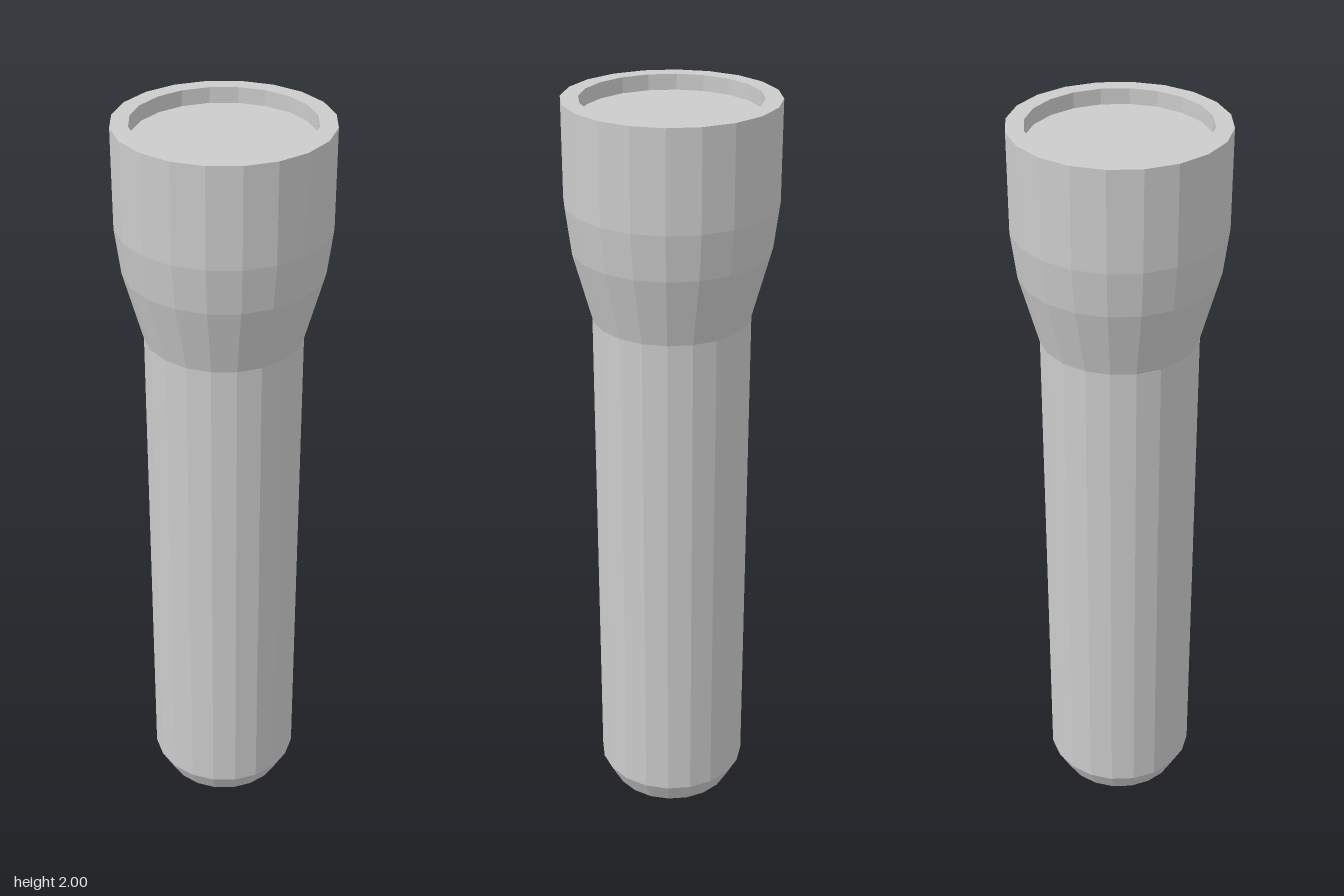
import * as THREE from 'three';

const SIDES = 20;

// Faceted turned part from [radius, height] pairs, listed from bottom to top along the outside
function turned(name, profile) {
  const points = profile.map(([r, y]) => new THREE.Vector2(r, y));
  const material = new THREE.MeshStandardMaterial({ color: 0xcccccc, flatShading: true });
  const mesh = new THREE.Mesh(new THREE.LatheGeometry(points, SIDES), material);
  mesh.name = name;
  return mesh;
}

export function createModel() {
  const group = new THREE.Group();
  group.name = 'flashlight';

  // Handle with closed, chamfered tail
  group.add(turned('handle', [[0, 0], [0.17, 0], [0.204, 0.065], [0.204, 1.44]]));

  // Flared head, flat rim and the wall of the lens recess
  group.add(turned('head', [
    [0.204, 1.44], [0.254, 1.625], [0.269, 1.745], [0.269, 2], [0.225, 2], [0.225, 1.96],
  ]));

  // Flat lens set below the rim
  group.add(turned('lens', [[0.225, 1.96], [0, 1.96]]));

  return group;
}
